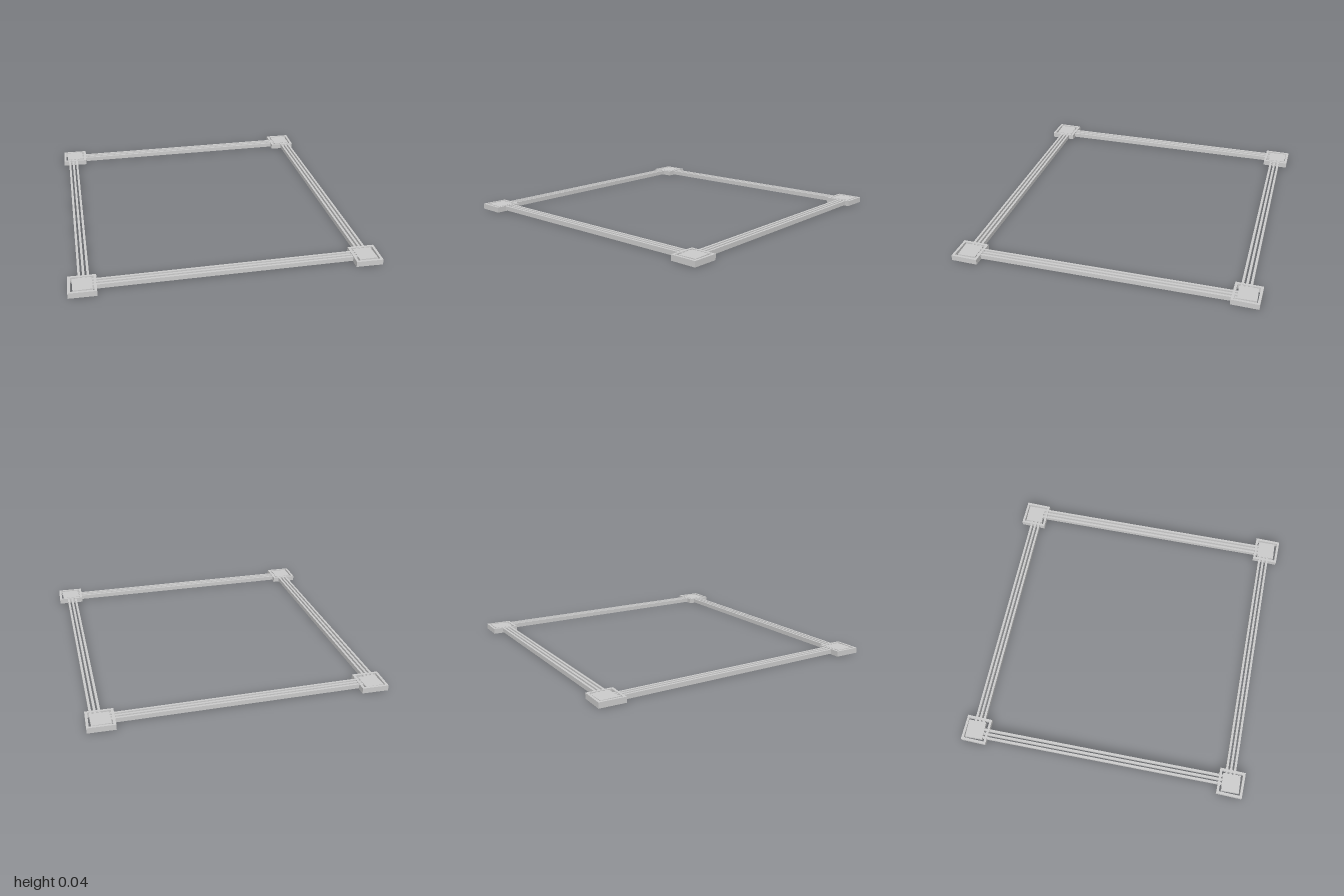
import * as THREE from 'three';

const material = new THREE.MeshStandardMaterial({ color: 0xcccccc, flatShading: true });
const TILT = 0.045; // slight skew of the corner surrounds

function box(name, w, h, d) {
  const mesh = new THREE.Mesh(new THREE.BoxGeometry(w, h, d), material);
  mesh.name = name;
  return mesh;
}

// Open square surround, extruded upwards
function squareRing(half, wall, height) {
  const square = (r) => [[-r, -r], [r, -r], [r, r], [-r, r]].map(([x, y]) => new THREE.Vector2(x, y));
  const shape = new THREE.Shape(square(half));
  shape.holes.push(new THREE.Path(square(half - wall).reverse()));
  const geometry = new THREE.ExtrudeGeometry(shape, { depth: height, bevelEnabled: false });
  return geometry.rotateX(-Math.PI / 2);
}

// Corner: solid block inside a skewed square surround
function corner(name, ringX, ringZ, blockZ) {
  const group = new THREE.Group();
  group.name = name;
  const ring = new THREE.Mesh(squareRing(0.086, 0.016, 0.036), material);
  ring.name = 'cornerSurround';
  ring.position.set(ringX, 0, ringZ);
  ring.rotation.y = -TILT;
  const block = box('cornerBlock', 0.118, 0.034, 0.118);
  block.position.set(ringX, 0.018, blockZ);
  group.add(ring, block);
  return group;
}

// Side: three parallel rails between two points on the ground plan
function side(name, x1, z1, x2, z2) {
  const group = new THREE.Group();
  group.name = name;
  const dx = x2 - x1, dz = z2 - z1;
  for (const offset of [-0.027, 0, 0.027]) {
    const rail = box('rail', Math.hypot(dx, dz), 0.029, 0.015);
    rail.position.set(0, 0.019, offset);
    group.add(rail);
  }
  group.position.set((x1 + x2) / 2, 0, (z1 + z2) / 2);
  group.rotation.y = -Math.atan2(dz, dx);
  return group;
}

export function createModel() {
  const model = new THREE.Group();
  model.name = 'squareFrame';
  model.add(
    corner('backRightCorner', -0.825, -0.905, -0.912),
    corner('backLeftCorner', 0.881, -0.87, -0.874),
    corner('frontRightCorner', -0.882, 0.851, 0.851),
    corner('frontLeftCorner', 0.881, 0.896, 0.894),
    // Rails run from block to block
    side('frontRails', -0.825, 0.84, 0.825, 0.882),
    side('backRails', -0.77, -0.898, 0.825, -0.858),
    side('rightRails', -0.842, -0.858, -0.869, 0.795),
    side('leftRails', 0.903, -0.818, 0.877, 0.838),
  );
  return model;
}
